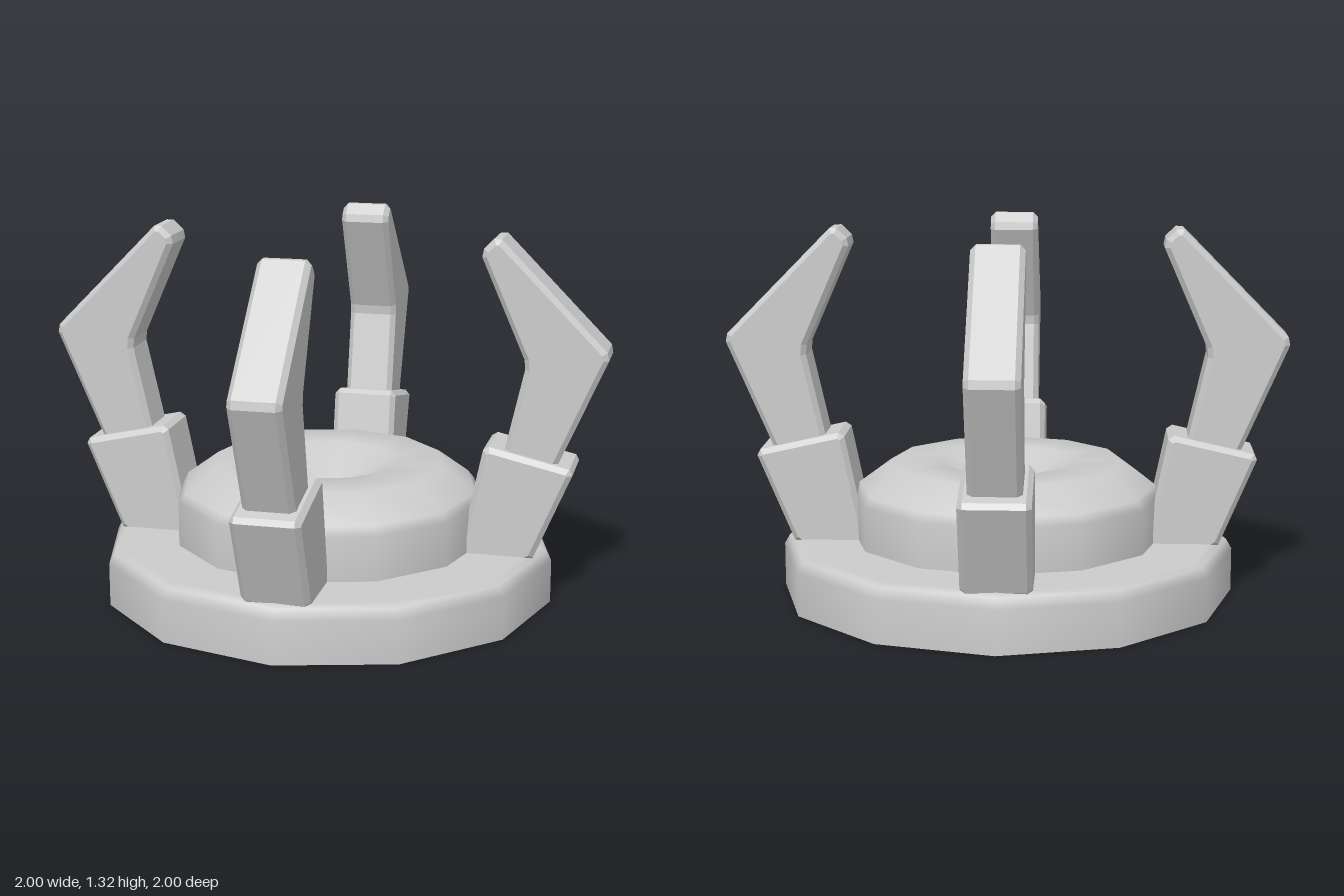
import * as THREE from 'three';

const grey = new THREE.MeshStandardMaterial({ color: 0xcccccc, side: THREE.DoubleSide });
const flatGrey = new THREE.MeshStandardMaterial({ color: 0xcccccc, flatShading: true });

// Smooth twelve-sided turned part
function turned(name, profile) {
  const points = profile.map(([r, y]) => new THREE.Vector2(r, y));
  const mesh = new THREE.Mesh(new THREE.LatheGeometry(points, 12), grey);
  mesh.name = name;
  return mesh;
}

// Cut every corner of an outline by a small distance
function cutCorners(outline, d) {
  const pts = outline.map(([x, y]) => new THREE.Vector2(x, y));
  return pts.flatMap((p, i) => {
    const towards = (q) => p.clone().add(q.clone().sub(p).setLength(d));
    return [towards(pts.at(i - 1)), towards(pts[(i + 1) % pts.length])];
  });
}

// Chamfered slab of the given width, centred on z = 0
function slab(name, outline, width) {
  const bevel = 0.018;
  const geometry = new THREE.ExtrudeGeometry(new THREE.Shape(cutCorners(outline, 0.018)), {
    depth: width - 2 * bevel,
    bevelThickness: bevel,
    bevelSize: bevel,
    bevelOffset: -bevel,
    bevelSegments: 1,
  });
  geometry.translate(0, 0, -width / 2 + bevel);
  const mesh = new THREE.Mesh(geometry, flatGrey);
  mesh.name = name;
  return mesh;
}

export function createModel() {
  const model = new THREE.Group();
  model.name = 'clawPedestal';

  // Hollow base, open underneath
  model.add(turned('base', [[0.815, 0], [0.815, 0.155], [0.795, 0.19], [0.76, 0.2], [0, 0.2]]));

  // Raised ring with a dished centre
  model.add(turned('ringCushion', [
    [0.56, 0.2], [0.56, 0.36], [0.535, 0.39], [0.42, 0.475],
    [0.24, 0.475], [0.1, 0.375], [0, 0.36],
  ]));

  // Four claws in sockets, one on each axis
  for (let i = 0; i < 4; i++) {
    const arm = new THREE.Group();
    arm.name = 'clawArm' + (i + 1);
    arm.add(slab('socket', [[0.755, 0.18], [0.898, 0.522], [0.58, 0.594], [0.495, 0.18]], 0.24));
    arm.add(slab('claw', [
      [0.8, 0.45], [1.007, 0.928], [0.61, 1.33], [0.548, 1.27], [0.717, 0.885], [0.62, 0.45],
    ], 0.18));
    arm.rotation.y = i * Math.PI / 2;
    model.add(arm);
  }
  return model;
}
